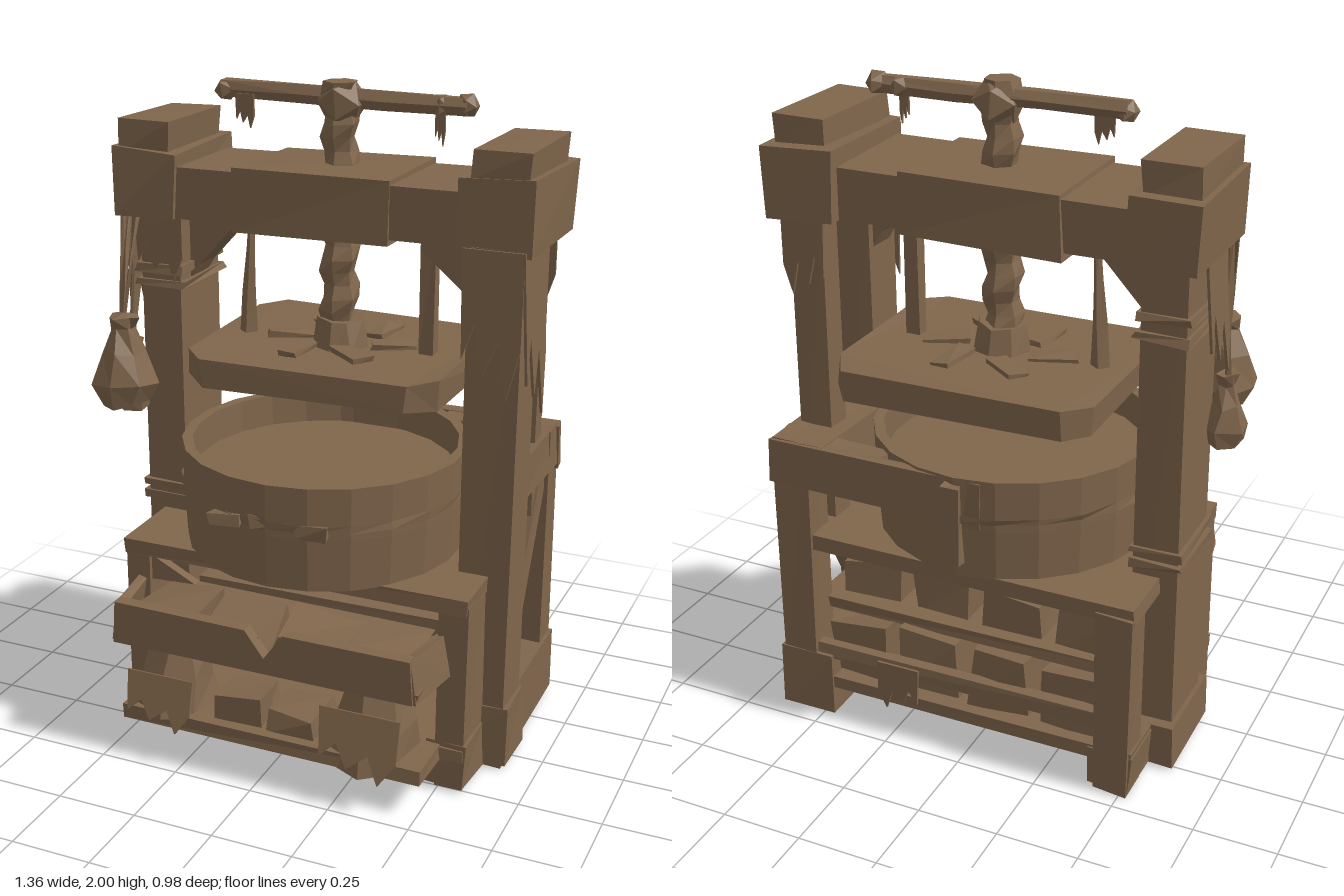
import * as THREE from 'three';

export function createModel() {
  const root = new THREE.Group();
  root.name = 'woodenPress';
  const wood = new THREE.MeshStandardMaterial({ color: 0x80664c, flatShading: true, side: THREE.DoubleSide });
  wood.name = 'weathered brown';

  let seed = 7;
  const rnd = () => ((seed = (seed * 16807) % 2147483647) / 2147483647) - 0.5;

  // Shifts shared corners together so hewn shapes stay closed
  const rough = (geo, amount) => {
    const p = geo.attributes.position, moved = {};
    for (let i = 0; i < p.count; i++) {
      const key = [p.getX(i), p.getY(i), p.getZ(i)].map(v => Math.round(v * 1e4)).join();
      const d = moved[key] ??= [rnd() * amount, rnd() * amount, rnd() * amount];
      p.setXYZ(i, p.getX(i) + d[0], p.getY(i) + d[1], p.getZ(i) + d[2]);
    }
    geo.computeVertexNormals();
    return geo;
  };
  const add = (name, geo, x = 0, y = 0, z = 0) => {
    const m = new THREE.Mesh(geo, wood);
    m.name = name;
    m.position.set(x, y, z);
    root.add(m);
    return m;
  };
  // Box given by its limits on each axis
  const box = (name, x0, x1, y0, y1, z0, z1, r = 0.012) =>
    add(name, rough(new THREE.BoxGeometry(x1 - x0, y1 - y0, z1 - z0), r),
      (x0 + x1) / 2, (y0 + y1) / 2, (z0 + z1) / 2);
  // Squared or round bar between two points
  const bar = (name, a, b, w, d = w, sides = 0) => {
    const A = new THREE.Vector3(...a), B = new THREE.Vector3(...b), len = A.distanceTo(B);
    const geo = sides ? new THREE.CylinderGeometry(w, d, len, sides, 3) : new THREE.BoxGeometry(w, len, d);
    const m = add(name, rough(geo, 0.008));
    m.position.copy(A).add(B).multiplyScalar(0.5);
    m.quaternion.setFromUnitVectors(new THREE.Vector3(0, 1, 0), B.sub(A).normalize());
    return m;
  };
  // Flat outline in the x-y plane, thickened along z
  const slab = (name, pts, z, depth) =>
    add(name, new THREE.ExtrudeGeometry(new THREE.Shape(pts.map(p => new THREE.Vector2(...p))),
      { depth, bevelEnabled: false }), 0, 0, z);
  // Ragged cloth strip with a jagged lower edge, leaning out at the bottom
  const rag = (name, w, h, x, y, z, turn = 0, lean = 0) => {
    const m = slab(name, [[-0.5, 0], [0.5, 0], [0.5, 0.65], [0.3, 1], [0.15, 0.6], [-0.1, 0.85],
      [-0.25, 0.5], [-0.45, 0.75]].map(([u, v]) => [u * w, -v * h]), z, 0.008);
    m.position.set(x, y, z);
    m.rotation.set(-lean, turn, 0, 'YXZ');
    return m;
  };

  // Uprights, caps and top beam
  box('rightPost', -0.585, -0.445, 0, 1.6, -0.24, 0.01);
  box('leftPost', 0.49, 0.645, 0, 1.6, -0.07, 0.09);
  box('leftRearPost', 0.5, 0.61, 0.6, 1.6, -0.31, -0.23);
  box('rightCap', -0.63, -0.43, 1.59, 1.78, -0.32, 0.07, 0.02);
  box('rightCapTop', -0.62, -0.455, 1.77, 1.865, -0.28, 0.05);
  box('leftCap', 0.45, 0.67, 1.58, 1.79, -0.34, 0.1, 0.02);
  box('leftCapTop', 0.49, 0.655, 1.78, 1.865, -0.28, 0.08);
  box('topBeam', -0.45, 0.48, 1.59, 1.74, -0.3, 0.06, 0.015);
  box('beamSleeve', -0.24, 0.25, 1.57, 1.755, -0.31, 0.07, 0.012);
  slab('rightBrace', [[-0.46, 1.36], [-0.46, 1.6], [-0.3, 1.6], [-0.3, 1.55], [-0.42, 1.42]], -0.17, 0.11);
  slab('leftBrace', [[0.5, 1.4], [0.5, 1.6], [0.34, 1.6], [0.34, 1.57], [0.46, 1.47]], -0.04, 0.1);
  box('leftHanger', 0.28, 0.325, 1.2, 1.6, -0.15, -0.11, 0.005);
  bar('rightHanger', [-0.27, 1.6, -0.13], [-0.29, 1.2, -0.13], 0.028, 0.01, 4);

  // Threaded screw: its outline bulges along a helix
  const screw = new THREE.CylinderGeometry(0.05, 0.055, 0.8, 6, 20);
  const sp = screw.attributes.position;
  for (let i = 0; i < sp.count; i++) {
    const y = sp.getY(i), a = Math.atan2(sp.getZ(i), sp.getX(i));
    const k = 1 + 0.2 * Math.sin(a + y * 48);
    sp.setX(i, sp.getX(i) * k);
    sp.setZ(i, sp.getZ(i) * k);
  }
  screw.computeVertexNormals();
  add('screw', screw, 0.02, 1.595, -0.12);
  add('screwHub', rough(new THREE.IcosahedronGeometry(0.075, 0), 0.01), 0.025, 1.935, -0.12);
  add('screwCollar', rough(new THREE.CylinderGeometry(0.07, 0.095, 0.1, 8), 0.015), 0.02, 1.24, -0.12);
  bar('turningHandle', [-0.36, 1.95, -0.13], [0.41, 1.945, -0.12], 0.028, 0.03, 6);
  for (const x of [-0.35, 0.33, 0.4])
    add('handleKnot', rough(new THREE.IcosahedronGeometry(0.036, 0), 0.012), x, 1.945, -0.125);
  rag('handleRag', 0.06, 0.1, -0.28, 1.94, -0.11);
  rag('handleRag', 0.03, 0.11, 0.33, 1.94, -0.11);

  // Pressing plate with clipped corners, and splinters on it
  const plate = new THREE.Shape([[-0.38, -0.1], [-0.3, -0.18], [0.35, -0.18], [0.42, -0.1],
    [0.42, 0.38], [0.36, 0.47], [-0.32, 0.47], [-0.38, 0.4]].map(p => new THREE.Vector2(...p)));
  const plateGeo = new THREE.ExtrudeGeometry(plate, { depth: 0.085, bevelEnabled: false });
  plateGeo.rotateX(-Math.PI / 2);
  add('pressPlate', rough(plateGeo, 0.018), 0, 1.12, 0);
  for (let i = 0; i < 6; i++) {
    const a = i * 1.05;
    const m = box('plateSplinter', -0.07, 0.07, 1.2, 1.222, -0.03, 0.03);
    m.position.x = 0.02 + 0.17 * Math.cos(a);
    m.position.z = -0.14 + 0.15 * Math.sin(a);
    m.rotation.y = -a + 0.4;
  }

  // Round tub with its filling, hoop and split chips
  const tub = new THREE.LatheGeometry([[0, 0.62], [0.426, 0.62], [0.434, 0.78], [0.437, 0.94],
    [0.405, 0.94], [0.4, 0.84], [0, 0.84]].map(p => new THREE.Vector2(...p)), 22);
  add('tub', tub, 0.015, 0, -0.03);
  add('tubHoop', rough(new THREE.CylinderGeometry(0.441, 0.438, 0.025, 22, 1, true), 0.01), 0.015, 0.815, -0.03);
  for (const x of [-0.12, 0.02, 0.15])
    box('tubChip', x - 0.05, x + 0.05, 0.8, 0.83, 0.36, 0.4, 0.025);
  box('tubBackBoard', -0.06, 0.63, 0.79, 0.93, -0.46, -0.42);
  box('tubCornerBlock', 0.27, 0.5, 0.8, 0.925, -0.43, -0.36);
  box('tubBracket', -0.01, 0.04, 0.67, 0.92, -0.49, -0.45);
  box('leftTubRail', 0.45, 0.63, 0.8, 0.93, -0.44, -0.06);

  // Table and base frame
  box('tableTop', -0.53, 0.58, 0.575, 0.625, -0.44, 0.27, 0.008);
  box('floor', -0.53, 0.58, 0.1, 0.14, -0.44, 0.27, 0.006);
  box('rightFrontLeg', -0.53, -0.45, 0, 0.6, 0.12, 0.26);
  box('leftFrontLeg', 0.49, 0.58, 0, 0.6, 0.08, 0.26);
  box('rightRearLeg', -0.53, -0.42, 0, 0.6, -0.45, -0.35);
  box('leftRearLeg', 0.51, 0.625, 0.18, 0.93, -0.45, -0.34);
  box('rightRunner', -0.53, -0.4, 0.005, 0.13, -0.44, 0.26);
  box('rightPostFoot', -0.6, -0.42, 0.005, 0.14, -0.27, 0.05);
  box('leftRunner', 0.46, 0.635, 0.005, 0.21, -0.45, -0.06);
  box('leftPostFoot', 0.46, 0.655, 0.005, 0.2, -0.08, 0.1);
  box('leftFrontFoot', 0.46, 0.585, 0.005, 0.15, 0.08, 0.26);
  bar('leftSideBrace', [0.58, 0.3, -0.06], [0.58, 0.84, -0.35], 0.07, 0.07);
  box('backRail', -0.45, 0.55, 0.2, 0.25, -0.44, -0.4);

  // Front trays, with a notched upper board and splayed sides
  box('upperTray', -0.47, 0.5, 0.365, 0.4, 0.05, 0.45);
  slab('upperTrayFront', [[-0.47, 0.37], [0.49, 0.37], [0.48, 0.505], [0.09, 0.505], [0.03, 0.42],
    [-0.03, 0.5], [-0.46, 0.505]], 0.42, 0.04);
  bar('rightTraySide', [-0.495, 0.435, 0.2], [-0.455, 0.435, 0.45], 0.03, 0.13);
  bar('leftTraySide', [0.52, 0.435, 0.2], [0.475, 0.435, 0.45], 0.03, 0.13);
  slab('trayCornerBrace', [[-0.5, 0.6], [-0.5, 0.49], [-0.3, 0.5]], 0.22, 0.03);
  slab('trayCornerBrace', [[0.53, 0.6], [0.53, 0.4], [0.47, 0.49]], 0.22, 0.03);
  box('lowerTray', -0.46, 0.51, 0.1, 0.145, 0.2, 0.43);
  for (let i = 0; i < 4; i++) {
    const x = -0.33 + i * 0.235;
    box('upperBlock', x - 0.1, x + 0.1, 0.39, 0.475, 0.2, 0.41, 0.04);
    box('rearUpperBlock', x - 0.095, x + 0.095, 0.36, 0.49, -0.31, -0.12, 0.03);
    box('rearLowerBlock', x - 0.095, x + 0.095, 0.14, 0.33, -0.4, -0.2, 0.03);
  }
  box('rearShelf', -0.48, 0.55, 0.33, 0.37, -0.36, -0.06);

  // Goods on the lower tray
  const sack = (name, r, h, x, y, z) =>
    add(name, rough(new THREE.CylinderGeometry(r * 0.62, r, h, 7, 2), 0.03), x, y + h / 2, z);
  sack('lowerSack', 0.14, 0.23, -0.33, 0.12, 0.31);
  sack('lowerSack', 0.15, 0.24, 0.32, 0.1, 0.31);
  box('lowerCrate', -0.17, -0.02, 0.13, 0.23, 0.25, 0.4, 0.03);
  box('lowerCrate', 0.0, 0.16, 0.13, 0.21, 0.22, 0.39, 0.03);
  rag('trayRag', 0.22, 0.17, -0.33, 0.27, 0.425, 0, 0.25);
  rag('trayRag', 0.25, 0.2, 0.32, 0.29, 0.425, 0, 0.25);
  rag('rearRag', 0.14, 0.16, 0.22, 0.25, -0.46);

  // Cloth draped over the posts
  rag('leftPostDrape', 0.18, 0.42, 0.565, 1.6, 0.095, 0, 0.03);
  rag('leftPostDrape', 0.19, 0.5, 0.648, 1.6, 0.01, Math.PI / 2, 0.05);
  rag('leftRearDrape', 0.14, 0.25, 0.555, 1.6, -0.325);
  rag('rightPostDrape', 0.16, 0.22, -0.515, 1.6, 0.015);
  rag('rightPostDrape', 0.17, 0.4, -0.59, 1.6, -0.06, -Math.PI / 2, 0.08);

  // Rope bindings on the right post
  for (const y of [0.67, 0.71, 1.37, 1.42])
    box('postBinding', -0.597, -0.433, y - 0.014, y + 0.014, -0.25, 0.02, 0.015);

  // Hanging pouches and cords
  const pouch = [[0, 0], [0.075, 0.02], [0.1, 0.09], [0.07, 0.18], [0.03, 0.25], [0.045, 0.29], [0, 0.29]]
    .map(p => new THREE.Vector2(...p));
  add('frontPouch', rough(new THREE.LatheGeometry(pouch, 7), 0.02), -0.565, 1.01, 0.16);
  const side = add('sidePouch', rough(new THREE.LatheGeometry(pouch, 6), 0.02), -0.62, 0.95, 0.02);
  side.scale.set(0.65, 0.8, 0.8);
  for (const [x, z] of [[-0.59, 0.06], [-0.62, 0.04], [-0.56, 0.06]])
    bar('pouchCord', [x, 1.6, z], [-0.57, 1.27, 0.16], 0.009, 0.009, 4);
  bar('pouchCord', [-0.61, 1.6, 0.02], [-0.62, 1.16, 0.02], 0.009, 0.009, 4);

  return root;
}
